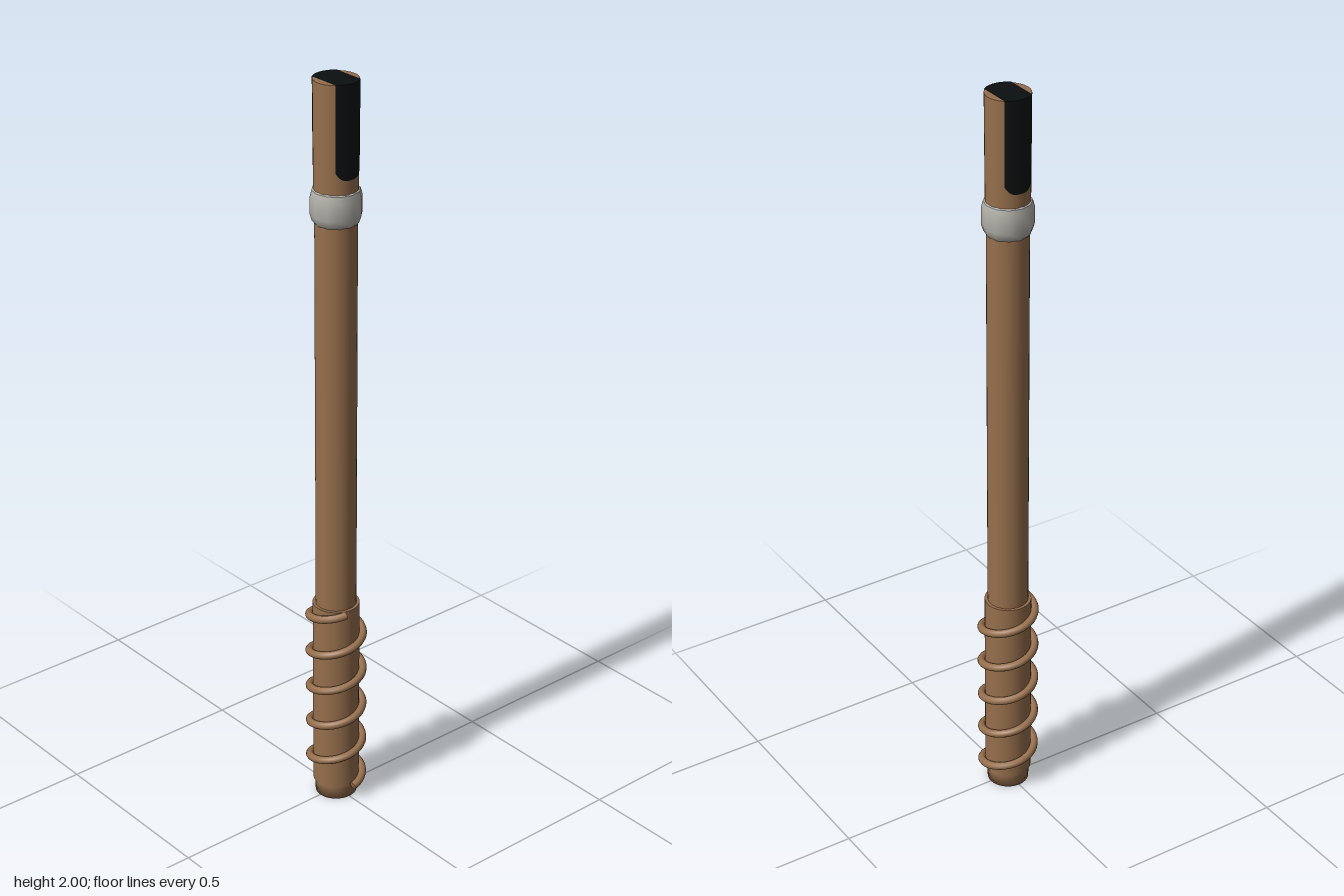
import * as THREE from 'three';
import { toCreasedNormals } from 'three/addons/utils/BufferGeometryUtils.js';

const material = (name, color) => {
  const m = new THREE.MeshStandardMaterial({ color });
  m.name = name;
  return m;
};

export function createModel() {
  const model = new THREE.Group();
  const wood = material('brown wood', 0x966f4c);
  const metal = material('pale grey metal', 0xb4b2aa);
  const black = material('black', 0x0b0f10);

  const add = (name, geometry, mat) => {
    const mesh = new THREE.Mesh(geometry, mat);
    mesh.name = name;
    model.add(mesh);
    return mesh;
  };
  const lathe = (points, sides) =>
    new THREE.LatheGeometry(points.map(([r, y]) => new THREE.Vector2(r, y)), sides);

  // Long shaft between the grip and the collar
  add('shaft', new THREE.CylinderGeometry(0.053, 0.053, 1.12, 32, 1, true).translate(0, 1.12, 0), wood);

  // Grip sleeve with a narrowed foot
  add('grip', lathe([[0, 0], [0.055, 0], [0.056, 0.03], [0.061, 0.04], [0.061, 0.58]], 32), wood);
  add('gripTop', new THREE.CircleGeometry(0.061, 32).rotateX(-Math.PI / 2).translate(0, 0.58, 0), wood);

  // Cord wound around the grip
  const turns = 4.95;
  class Helix extends THREE.Curve {
    getPoint(t, target = new THREE.Vector3()) {
      const a = t * turns * Math.PI * 2;
      return target.set(0.07 * Math.cos(a), 0.04 + 0.535 * t, -0.07 * Math.sin(a));
    }
  }
  const helix = new Helix();
  add('cord', new THREE.TubeGeometry(helix, 240, 0.0105, 10), wood);
  for (const t of [0, 1]) {
    const end = add('cordEnd', new THREE.CircleGeometry(0.0105, 10), wood);
    const direction = helix.getTangent(t).multiplyScalar(t ? 1 : -1);
    end.position.copy(helix.getPoint(t));
    end.lookAt(end.position.clone().add(direction));
  }

  // Rounded collar
  const collar = lathe([[0.052, 1.635], [0.059, 1.643], [0.0645, 1.66],
    [0.0645, 1.705], [0.06, 1.722], [0.052, 1.727]], 12);
  add('collar', toCreasedNormals(collar, 0.7), metal);

  // Tip above the collar
  add('tip', new THREE.CylinderGeometry(0.0565, 0.055, 0.329, 32).translate(0, 1.8345, 0), wood);

  // Black inlays on both sides of the tip, with rounded lower ends
  const half = 0.72;
  for (const side of [1, -1]) {
    const inlay = new THREE.CylinderGeometry(0.058, 0.0567, 0.24, 16, 1, true,
      side * Math.PI / 2 - half, half * 2).translate(0, 1.88, 0);
    const p = inlay.attributes.position;
    for (let i = 0; i < p.count; i++) {
      if (p.getY(i) < 1.8) p.setY(i, 1.76 + 0.02 * Math.pow(Math.abs(p.getZ(i)) / 0.037, 4));
    }
    add(side > 0 ? 'leftInlay' : 'rightInlay', inlay, black).material.side = THREE.DoubleSide;
  }

  // Black band across the top of the tip
  const band = new THREE.Shape();
  band.absarc(0, 0, 0.058, -half, half, false);
  band.absarc(0, 0, 0.058, Math.PI - half, Math.PI + half, false);
  add('topInlay', new THREE.ShapeGeometry(band, 16).rotateX(-Math.PI / 2).translate(0, 2, 0), black);

  return model;
}
